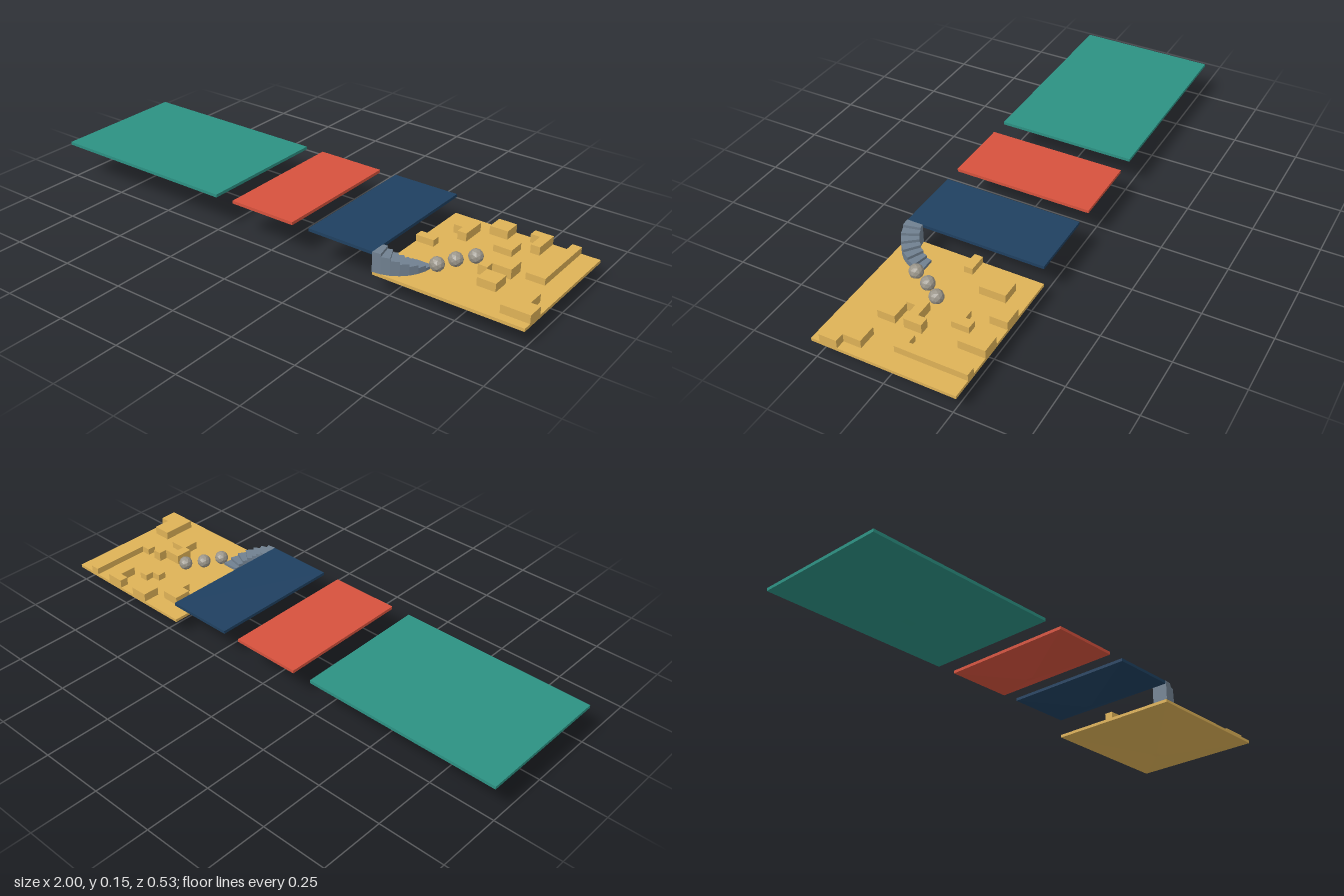
import * as THREE from 'three';

const DEPTH = 0.526, SLAB = 0.0115, DECK = 0.075;
const mat = (color) => new THREE.MeshStandardMaterial({ color, flatShading: true });

function add(parent, name, geometry, material, x = 0, y = 0, z = 0) {
  const mesh = new THREE.Mesh(geometry, material);
  mesh.name = name;
  mesh.position.set(x, y, z);
  parent.add(mesh);
  return mesh;
}

// Floating platform: thin slab over a shallow inverted pyramid with a small flat tip
function platform(name, x0, x1, top, bottom, material) {
  const g = new THREE.Group();
  g.name = name;
  const w = x1 - x0, h = top - SLAB - bottom;
  add(g, 'slab', new THREE.BoxGeometry(w, SLAB, DEPTH), material, 0, top - SLAB / 2);
  const base = new THREE.CylinderGeometry(Math.SQRT1_2, 0.055 * Math.SQRT1_2, h, 4)
    .rotateY(Math.PI / 4).scale(w, 1, DEPTH);
  add(g, 'underside', base, material, 0, bottom + h / 2);
  g.position.x = (x0 + x1) / 2;
  return g;
}

// Upright extrusion of an outline given in x, z
function prism(points, y0, y1) {
  const shape = new THREE.Shape(points.map(([x, z]) => new THREE.Vector2(x, -z)));
  return new THREE.ExtrudeGeometry(shape, { depth: y1 - y0, bevelEnabled: false })
    .rotateX(-Math.PI / 2).translate(0, y0, 0);
}

export function createModel() {
  const model = new THREE.Group();
  const sand = mat(0xdeb257), stone = mat(0x708090), rock = mat(0x9a958a);

  model.add(
    platform('greenPlatform', -1, -0.24, 0.15, 0.078, mat(0x2c9183)),
    platform('redPlatform', -0.163, 0.105, 0.15, 0.078, mat(0xd6523d)),
    platform('bluePlatform', 0.175, 0.438, 0.15, 0.078, mat(0x1f4060)),
    platform('mazePlatform', 0.438, 1, DECK, 0, sand),
  );

  // Maze walls: a height and an outline on a 16 x 16 grid of columns and rows
  const walls = [
    [0.106, [[13, 11], [15, 11], [15, 13], [16, 13], [16, 15], [13, 15]]],
    [0.1, [[13, 0], [14, 0], [14, 8], [12, 8], [12, 7], [13, 7]]],
    [0.107, [[9, 0], [11, 0], [11, 3], [10, 3], [10, 1], [9, 1]]],
    [0.107, [[5, 0], [7, 0], [7, 2], [5, 2]]],
    [0.107, [[2, 2], [4, 2], [4, 5], [3, 5], [3, 4], [2, 4]]],
    [0.1, [[8, 3], [9, 3], [9, 5], [7, 5], [7, 4], [8, 4]]],
    [0.1, [[0, 7], [2, 7], [2, 8], [0, 8]]],
    [0.112, [[10, 7], [11, 7], [11, 9], [9, 9], [9, 10], [8, 10], [8, 8], [10, 8]]],
    [0.106, [[9, 10], [11, 10], [11, 12], [9, 12]]],
  ];
  const maze = new THREE.Group();
  maze.name = 'mazeWalls';
  for (const [top, outline] of walls) {
    const pts = outline.map(([c, r]) => [0.438 + c * 0.562 / 16, -DEPTH / 2 + r * DEPTH / 16]);
    add(maze, 'mazeWall', prism(pts, DECK - 0.002, top), sand);
  }
  model.add(maze);

  // Curved stairs: solid wedge steps sweeping a quarter turn down to the deck
  const stairs = new THREE.Group();
  stairs.name = 'curvedStairs';
  const steps = 7, inner = 0.08, outer = 0.143;
  const at = (r, a) => [0.438 + r * Math.sin(a), 0.122 + r * Math.cos(a)];
  for (let i = 0; i < steps; i++) {
    const a = i / steps * Math.PI / 2, b = (i + 1) / steps * Math.PI / 2;
    const pts = [at(inner, a), at(outer, a), at(outer, b), at(inner, b)];
    add(stairs, 'step', prism(pts, DECK, 0.15 - i * 0.0107), stone);
  }
  model.add(stairs);

  // Round boulders leading from the stairs into the maze
  for (const [x, z] of [[0.602, 0.127], [0.634, 0.062], [0.676, 0.003]]) {
    add(model, 'boulder', new THREE.IcosahedronGeometry(0.0265, 1), rock, x, 0.0985, z);
  }
  return model;
}
